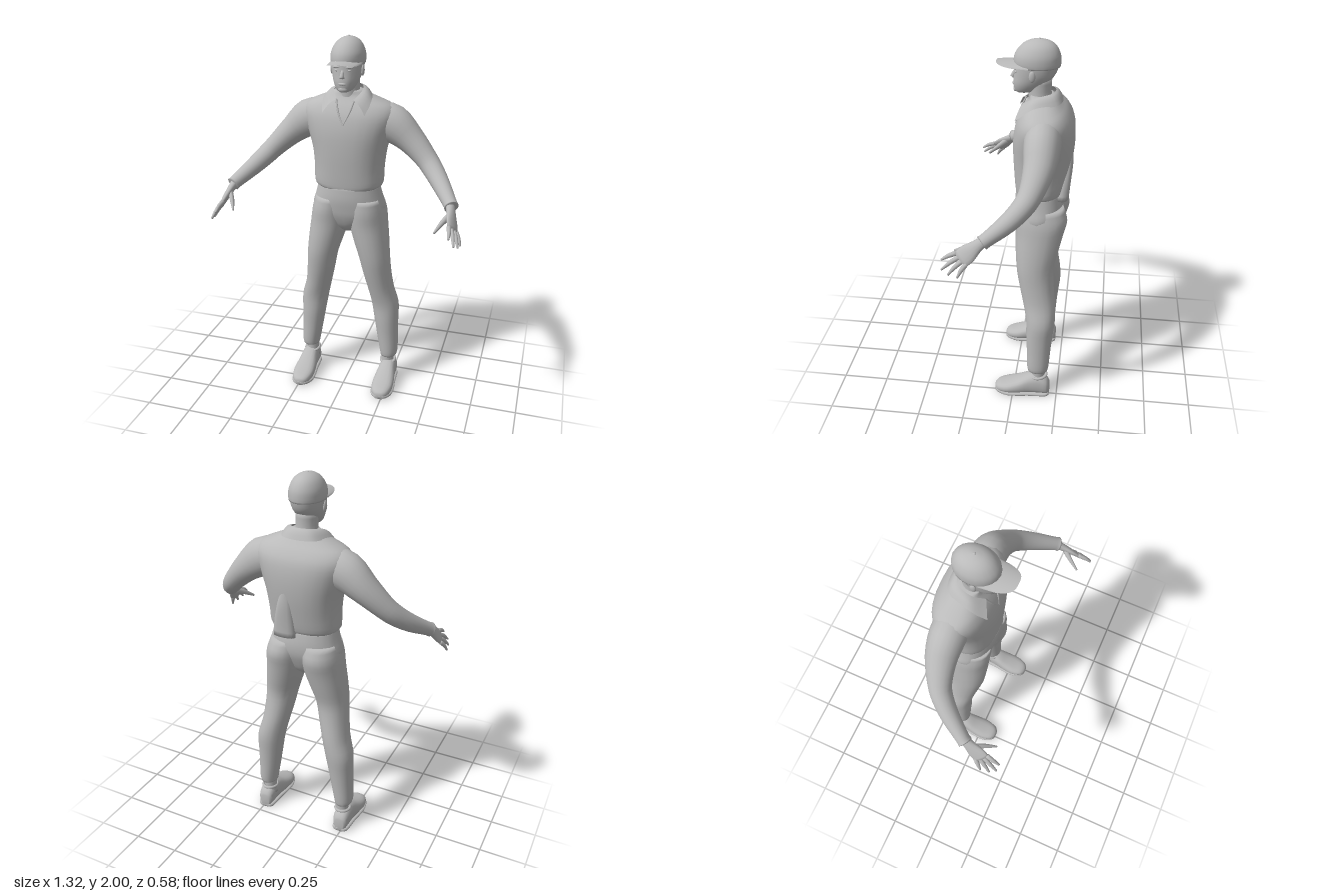
import * as THREE from 'three';

const grey = new THREE.MeshStandardMaterial({ color: 0xbababa, side: THREE.DoubleSide });
grey.name = 'plain grey';
const V = (x, y, z) => new THREE.Vector3(x, y, z);
const X = V(1, 0, 0), Y = V(0, 1, 0), Z = V(0, 0, 1);

function mesh(name, geometry) {
  const m = new THREE.Mesh(geometry, grey);
  m.name = name;
  return m;
}

// Smooth closed skin through sections [x, y, z, radiusA, radiusB].
// hint is the direction of radiusA; axis keeps all rings parallel if given.
function loft(name, secs, hint, axis = null, power = 1, segs = 20, steps = 3) {
  const path = new THREE.CatmullRomCurve3(secs.map(s => V(s[0], s[1], s[2])), false, 'catmullrom', 0.5);
  const radii = new THREE.CatmullRomCurve3(secs.map(s => V(s[3], s[4], 0)), false, 'catmullrom', 0.5);
  const n = (secs.length - 1) * steps;
  const pos = [], idx = [];
  const bend = c => Math.sign(c) * Math.pow(Math.abs(c), power);
  for (let i = 0; i <= n; i++) {
    const c = path.getPoint(i / n), r = radii.getPoint(i / n);
    const t = axis ? axis.clone() : path.getTangent(i / n);
    const u = hint.clone().addScaledVector(t, -hint.dot(t)).normalize();
    const v = t.clone().cross(u);
    for (let j = 0; j < segs; j++) {
      const a = (j / segs) * Math.PI * 2;
      const p = c.clone().addScaledVector(u, r.x * bend(Math.cos(a))).addScaledVector(v, r.y * bend(Math.sin(a)));
      pos.push(p.x, p.y, p.z);
      if (i < n) {
        const k = i * segs, a0 = k + j, b0 = k + (j + 1) % segs;
        idx.push(a0, b0, b0 + segs, a0, b0 + segs, a0 + segs);
      }
    }
  }
  // end caps
  [0, n].forEach((i, e) => {
    const c = path.getPoint(i / n), k = pos.length / 3;
    pos.push(c.x, c.y, c.z);
    for (let j = 0; j < segs; j++) {
      const a = i * segs + j, b = i * segs + (j + 1) % segs;
      if (e) idx.push(k, a, b); else idx.push(k, b, a);
    }
  });
  const g = new THREE.BufferGeometry();
  g.setAttribute('position', new THREE.Float32BufferAttribute(pos, 3));
  g.setIndex(idx);
  g.computeVertexNormals();
  return mesh(name, g);
}

// Open sheet: rule(u, v) gives the point
function sheet(name, rule, nu, nv) {
  const g = new THREE.PlaneGeometry(1, 1, nu, nv);
  const p = g.attributes.position;
  for (let i = 0; i < p.count; i++) {
    const q = rule(p.getX(i) + 0.5, p.getY(i) + 0.5);
    p.setXYZ(i, q.x, q.y, q.z);
  }
  g.computeVertexNormals();
  return mesh(name, g);
}

function ball(name, x, y, z, rx, ry, rz) {
  const m = mesh(name, new THREE.SphereGeometry(1, 12, 8));
  m.position.set(x, y, z);
  m.scale.set(rx, ry, rz);
  return m;
}

// Sections along y: [y, rx, rz, cz]
const upright = rows => rows.map(([y, rx, rz, cz]) => [0, y, cz, rx, rz]);

function makeHead() {
  const g = new THREE.Group();
  g.name = 'head';
  g.add(loft('face', upright([
    [1.733, 0.02, 0.028, -0.022], [1.745, 0.042, 0.054, -0.036], [1.78, 0.062, 0.079, -0.055],
    [1.82, 0.075, 0.098, -0.078], [1.86, 0.081, 0.105, -0.088], [1.9, 0.082, 0.107, -0.092]]), X, Y.clone(), 0.95));
  g.add(loft('neck', upright([
    [1.66, 0.075, 0.075, -0.125], [1.72, 0.057, 0.057, -0.108], [1.82, 0.055, 0.06, -0.105]]), X, Y.clone()));
  g.add(loft('cap', upright([
    [1.868, 0.086, 0.111, -0.093], [1.89, 0.088, 0.114, -0.092], [1.925, 0.084, 0.109, -0.094],
    [1.962, 0.066, 0.087, -0.098], [1.985, 0.04, 0.055, -0.1], [1.996, 0.01, 0.014, -0.1]]), X, Y.clone()));
  g.add(ball('capButton', 0, 1.995, -0.1, 0.008, 0.005, 0.008));
  // brim: rounded in front, drooping at the sides
  g.add(sheet('capBrim', (u, v) => {
    const s = 2 * u - 1;
    const reach = 0.16 * Math.pow(1 - Math.pow(Math.abs(s), 3.2), 0.5);
    return V(0.083 * s, 1.894 - 0.018 * s * s - 0.008 * v, -0.055 + v * reach);
  }, 24, 6));
  // nose, mouth, eyes and ears
  g.add(loft('nose', [[0, 1.845, 0.012, 0.007, 0.008], [0, 1.815, 0.024, 0.012, 0.013], [0, 1.805, 0.02, 0.013, 0.01]], X, Y.clone().negate(), 1, 10));
  g.add(ball('mouth', 0, 1.778, 0.02, 0.022, 0.007, 0.009));
  g.add(ball('chin', 0, 1.75, 0.01, 0.025, 0.015, 0.014));
  for (const s of [1, -1]) {
    g.add(ball('eye', s * 0.03, 1.843, 0.007, 0.013, 0.006, 0.006));
    g.add(ball('brow', s * 0.032, 1.86, 0.009, 0.022, 0.006, 0.008));
    g.add(ball('ear', s * 0.08, 1.835, -0.075, 0.009, 0.028, 0.016));
  }
  return g;
}

function makeShirt() {
  const g = new THREE.Group();
  g.name = 'shirt';
  g.add(loft('shirtBody', upright([
    [1.212, 0.166, 0.12, -0.113], [1.235, 0.186, 0.129, -0.118], [1.32, 0.188, 0.141, -0.124],
    [1.42, 0.2, 0.152, -0.13], [1.52, 0.228, 0.154, -0.134], [1.6, 0.25, 0.141, -0.137],
    [1.65, 0.23, 0.115, -0.135], [1.68, 0.17, 0.09, -0.13], [1.705, 0.11, 0.07, -0.125],
    [1.73, 0.066, 0.056, -0.115]]), X, Y.clone(), 0.87, 28));
  // loose fold hanging at the back hem
  g.add(loft('backFold', [
    [0.06, 1.195, -0.235, 0.062, 0.034], [0.055, 1.28, -0.242, 0.056, 0.034],
    [0.045, 1.38, -0.25, 0.042, 0.034], [0.035, 1.48, -0.25, 0.022, 0.03]], X, Y.clone(), 0.75, 16));
  // collar wrapped round the neck, open at the front
  const wrap = pts => new THREE.CatmullRomCurve3([
    ...pts.map(p => V(...p)), ...pts.slice(0, -1).reverse().map(([x, y, z]) => V(-x, y, z))]);
  const inner = wrap([[0.045, 1.69, -0.03], [0.074, 1.728, -0.09], [0.052, 1.745, -0.165], [0, 1.748, -0.185]]);
  const outer = wrap([[0.112, 1.622, 0.005], [0.13, 1.688, -0.085], [0.085, 1.7, -0.2], [0, 1.7, -0.222]]);
  g.add(sheet('collar', (u, v) => inner.getPoint(u).lerp(outer.getPoint(u), v)
    .add(V(0, 0.012 * Math.sin(v * Math.PI), 0)), 28, 4));
  // edges of the V opening
  for (const s of [1, -1]) {
    const edge = new THREE.CatmullRomCurve3([V(s * 0.048, 1.69, -0.036), V(s * 0.03, 1.63, -0.008), V(0, 1.565, 0.011)]);
    g.add(mesh('neckOpening', new THREE.TubeGeometry(edge, 8, 0.005, 6)));
  }
  return g;
}

function makeArm(s) {
  const g = new THREE.Group();
  g.name = s > 0 ? 'leftArm' : 'rightArm';
  const m = rows => rows.map(([x, ...rest]) => [s * x, ...rest]);
  g.add(loft('sleeve', m([
    [0.13, 1.585, -0.14, 0.085, 0.085], [0.225, 1.555, -0.142, 0.09, 0.1], [0.32, 1.483, -0.138, 0.078, 0.075],
    [0.41, 1.397, -0.11, 0.06, 0.058], [0.46, 1.345, -0.075, 0.053, 0.053], [0.515, 1.29, -0.012, 0.046, 0.046],
    [0.575, 1.233, 0.077, 0.035, 0.036], [0.587, 1.221, 0.097, 0.037, 0.037]]), Z));
  // palm; across points from little finger to index finger
  const across = V(-0.42 * s, 0.55, 0.72);
  g.add(loft('palm', m([
    [0.575, 1.235, 0.08, 0.026, 0.023], [0.588, 1.205, 0.118, 0.03, 0.02], [0.602, 1.168, 0.162, 0.045, 0.016],
    [0.612, 1.14, 0.196, 0.044, 0.012]]), across, null, 1, 14));
  const tips = [[0.655, 1.066, 0.205], [0.648, 1.074, 0.25], [0.632, 1.09, 0.283], [0.606, 1.128, 0.286]];
  tips.forEach((tip, i) => {
    const k = (i - 1.5) * 0.023;
    const root = [0.61 - 0.42 * k, 1.145 + 0.55 * k, 0.19 + 0.72 * k];
    const mid = root.map((c, j) => (c + tip[j]) / 2 + (j === 1 ? 0.004 : 0.002));
    g.add(loft('finger', m([[...root, 0.012, 0.011], [...mid, 0.0105, 0.01], [...tip, 0.005, 0.005]]), across, null, 1, 8));
  });
  g.add(loft('thumb', m([
    [0.588, 1.195, 0.135, 0.018, 0.014], [0.558, 1.168, 0.182, 0.014, 0.012], [0.528, 1.132, 0.238, 0.006, 0.005]]),
    across, null, 1, 8));
  return g;
}

function makeLeg(s) {
  const g = new THREE.Group();
  g.name = s > 0 ? 'leftLeg' : 'rightLeg';
  const m = rows => rows.map(([x, ...rest]) => [s * x, ...rest]);
  g.add(loft('trouserLeg', m([
    [0.238, 0.168, -0.14, 0.046, 0.056], [0.238, 0.2, -0.14, 0.052, 0.061], [0.228, 0.3, -0.142, 0.06, 0.066],
    [0.219, 0.4, -0.144, 0.068, 0.073], [0.209, 0.5, -0.148, 0.076, 0.079], [0.184, 0.6, -0.137, 0.073, 0.087],
    [0.165, 0.7, -0.12, 0.078, 0.092], [0.15, 0.8, -0.108, 0.085, 0.098], [0.129, 0.9, -0.115, 0.097, 0.113],
    [0.109, 1.0, -0.125, 0.105, 0.126], [0.101, 1.08, -0.13, 0.102, 0.138], [0.09, 1.15, -0.122, 0.092, 0.125]]), X, Y.clone(), 0.95));
  g.add(loft('ankle', m([
    [0.232, 0.08, -0.14, 0.04, 0.045], [0.232, 0.13, -0.143, 0.035, 0.038], [0.235, 0.2, -0.143, 0.036, 0.04]]), X, Y.clone()));
  // shoe [z, half width, height] from heel to toe
  const shoe = [[-0.208, 0.026, 0.075], [-0.19, 0.042, 0.105], [-0.14, 0.047, 0.132], [-0.09, 0.05, 0.125],
    [-0.03, 0.058, 0.092], [0.03, 0.06, 0.068], [0.08, 0.045, 0.053], [0.102, 0.02, 0.036]];
  g.add(loft('shoe', m(shoe.map(([z, w, h]) => [0.24, h / 2 + 0.004, z, w, h / 2])), X, Z.clone(), 0.8, 20));
  g.add(loft('sole', m(shoe.map(([z, w]) => [0.24, 0.01 + (z > 0.05 ? 0.005 : 0), z, w + 0.004, 0.01])), X, Z.clone(), 0.5, 16));
  // shoe opening and strap
  const rim = mesh('shoeOpening', new THREE.TorusGeometry(0.04, 0.008, 8, 20));
  rim.rotation.x = Math.PI / 2 + 0.12;
  rim.position.set(s * 0.235, 0.124, -0.143);
  rim.scale.y = 1.15;
  g.add(rim);
  return g;
}

export function createModel() {
  const model = new THREE.Group();
  model.name = 'standingManInCap';
  model.add(makeHead(), makeShirt());
  model.add(loft('trouserTop', upright([
    [0.955, 0.035, 0.05, -0.115], [0.99, 0.095, 0.085, -0.115], [1.05, 0.18, 0.112, -0.117],
    [1.1, 0.2, 0.125, -0.12], [1.16, 0.183, 0.13, -0.118], [1.235, 0.163, 0.122, -0.114]]), X, Y.clone(), 0.92, 24));
  for (const s of [1, -1]) model.add(makeArm(s), makeLeg(s));
  return model;
}
